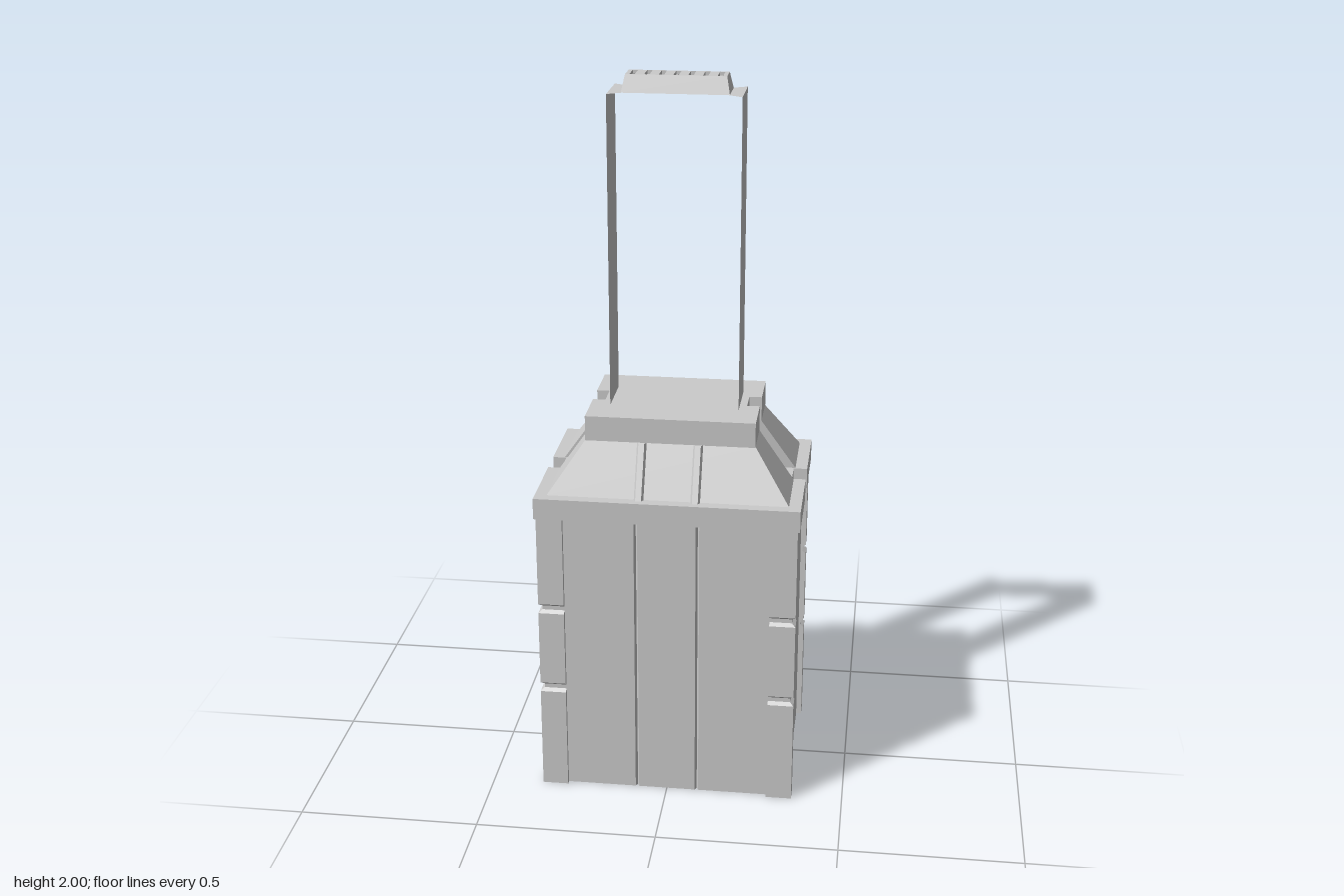
import * as THREE from 'three';

const mat = new THREE.MeshStandardMaterial({ color: 0xcccccc, flatShading: true, side: THREE.DoubleSide });

function add(group, name, geometry) {
  const mesh = new THREE.Mesh(geometry, mat);
  mesh.name = name;
  group.add(mesh);
  return mesh;
}

// Mirrors a front-right quarter outline [x, z] into a full ring
function ring(q) {
  const half = [...q, ...q.map(([x, z]) => [x, -z]).reverse()];
  return [...half, ...half.map(([x, z]) => [-x, z]).reverse()];
}

// Skins rings of [x, z] points placed at the given heights
function loft(sections) {
  const pos = [];
  for (let s = 0; s + 1 < sections.length; s++) {
    const [y0, r0] = sections[s], [y1, r1] = sections[s + 1];
    for (let i = 0; i < r0.length; i++) {
      const j = (i + 1) % r0.length;
      const a = [r0[i][0], y0, r0[i][1]], b = [r0[j][0], y0, r0[j][1]];
      const c = [r1[j][0], y1, r1[j][1]], d = [r1[i][0], y1, r1[i][1]];
      pos.push(...a, ...b, ...c, ...a, ...c, ...d);
    }
  }
  const g = new THREE.BufferGeometry();
  g.setAttribute('position', new THREE.Float32BufferAttribute(pos, 3));
  g.computeVertexNormals();
  return g;
}

// Horizontal slab from a ring outline, optionally with holes
function slab(outline, y, height, holes = []) {
  const toVectors = (pts) => pts.map(([x, z]) => new THREE.Vector2(x, -z));
  const shape = new THREE.Shape(toVectors(outline));
  holes.forEach((h) => shape.holes.push(new THREE.Path(toVectors(h))));
  return new THREE.ExtrudeGeometry(shape, { depth: height, bevelEnabled: false })
    .rotateX(-Math.PI / 2).translate(0, y, 0);
}

// Rectangle with a notch in each short side
const notched = (x, z, notchX, notchZ) => ring([[x, z], [x, notchZ], [notchX, notchZ]]);
const rect = (x, z, cx = 0) => [[cx - x, z], [cx + x, z], [cx + x, -z], [cx - x, -z]];

// Body outline; inset shrinks only the corner posts
const bodyRing = (inset) => ring([
  [0.08, 0.25], [0.085, 0.24], [0.09, 0.25], [0.285, 0.25],
  [0.285, 0.263 - inset], [0.357 - inset, 0.263 - inset],
  [0.357 - inset, 0.217], [0.342, 0.217], [0.342, 0.042], [0.325, 0.042],
]);

export function createModel() {
  const model = new THREE.Group();

  // Open-bottomed body with two grooves round every corner post
  const levels = [[0, 0]];
  for (const y of [0.312, 0.558]) {
    levels.push([y - 0.014, 0], [y - 0.006, 0.01], [y + 0.006, 0.01], [y + 0.014, 0]);
  }
  levels.push([0.83, 0]);
  add(model, 'body', loft(levels.map(([y, inset]) => [y, bodyRing(inset)])));
  for (const s of [-1, 1]) {
    add(model, 'innerPartition', new THREE.PlaneGeometry(0.65, 0.83)).position.set(0, 0.415, s * 0.042);
  }

  // Collar, sloping shoulder and top cap
  add(model, 'collar', slab(notched(0.363, 0.265, 0.325, 0.038), 0.83, 0.06));
  add(model, 'shoulder', loft([
    [0.89, notched(0.33, 0.235, 0.275, 0.042)],
    [1.03, notched(0.232, 0.163, 0.2, 0.036)],
  ]));
  add(model, 'topCap', slab(notched(0.232, 0.17, 0.197, 0.036), 1.03, 0.07));

  // Tapered ribs on the front and back slopes
  for (const x of [-0.077, 0.077]) {
    for (const s of [-1, 1]) {
      const ribRing = (z) => [
        [x - 0.013, z - 0.025], [x - 0.013, z - 0.009], [x - 0.008, z],
        [x + 0.008, z], [x + 0.013, z - 0.009], [x + 0.013, z - 0.025],
      ];
      const rib = loft([[0.89, ribRing(0.247)], [1.03, ribRing(0.176)]]);
      if (s < 0) rib.rotateY(Math.PI);
      add(model, 'shoulderRib', rib);
    }
  }

  // Thin uprights, each with a flat tapering web to the grip
  for (const s of [-1, 1]) {
    const upright = add(model, 'handleUpright', new THREE.PlaneGeometry(0.15, 0.855));
    upright.rotation.y = s * Math.PI / 2;
    upright.position.set(s * 0.177, 1.5275, 0);
    const web = new THREE.Shape([[0.177, -0.075], [0.177, 0.075], [0.14, 0.052], [0.14, -0.052]]
      .map(([x, z]) => new THREE.Vector2(s * x, z)));
    add(model, 'handleWeb', new THREE.ShapeGeometry(web).rotateX(-Math.PI / 2).translate(0, 1.955, 0));
  }

  // Grip: hollow tapered shell with seven slots in the top
  const slots = [];
  for (let i = -3; i <= 3; i++) slots.push(rect(0.007, 0.03, i * 0.0383));
  add(model, 'gripShell', loft([[1.955, rect(0.142, 0.052)], [2, rect(0.133, 0.034)]]));
  add(model, 'gripTop', slab(rect(0.133, 0.034), 1.99, 0.01, slots));
  add(model, 'gripSlotFloor', new THREE.PlaneGeometry(0.266, 0.068).rotateX(-Math.PI / 2)).position.y = 1.989;

  return model;
}
